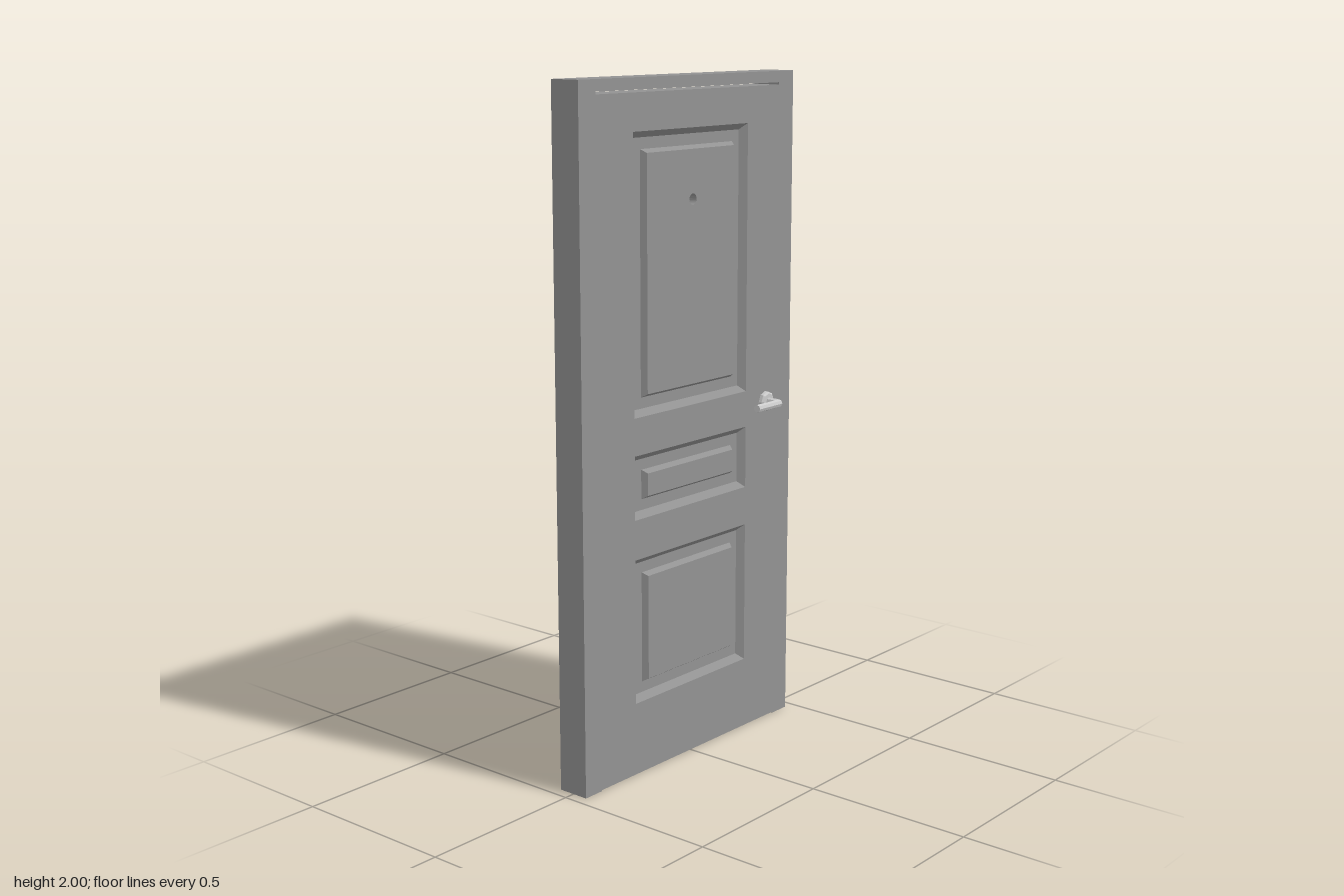
import * as THREE from 'three';

const HALF = 0.0485;     // half depth of the frame and of the flush leaf
const FIELD = 0.0455;    // height of the raised panel fields
const HOLE = { y: 1.654, z: -0.006, r: 0.016 };
const doorMat = new THREE.MeshStandardMaterial({ color: 0x929292, flatShading: true, side: THREE.DoubleSide });
const metalMat = new THREE.MeshStandardMaterial({ color: 0xcccccc, flatShading: true, side: THREE.DoubleSide });

function add(parent, name, geometry, material = doorMat) {
  const mesh = new THREE.Mesh(geometry, material);
  mesh.name = name;
  parent.add(mesh);
  return mesh;
}

// Corners of a rectangle, moved inwards by inset, counter-clockwise
function corners({ w, y0, y1 }, inset = 0) {
  const x = w - inset, a = y0 + inset, b = y1 - inset;
  return [[-x, a], [x, a], [x, b], [-x, b]];
}

function trace(path, points) {
  path.setFromPoints(points.map(p => new THREE.Vector2(...p)));
  path.closePath();
  return path;
}

// Mitred rectangular moulding through [inset, z] steps
function moulding(rect, steps) {
  const pos = [], index = [];
  for (const [inset, z] of steps)
    for (const [x, y] of corners(rect, inset)) pos.push(x, y, z);
  for (let s = 0; s < steps.length - 1; s++)
    for (let i = 0; i < 4; i++) {
      const a = s * 4 + i, b = s * 4 + (i + 1) % 4;
      index.push(a, b, b + 4, a, b + 4, a + 4);
    }
  const g = new THREE.BufferGeometry();
  g.setAttribute('position', new THREE.Float32BufferAttribute(pos, 3));
  g.setIndex(index);
  const flat = g.toNonIndexed();
  flat.computeVertexNormals();
  return flat;
}

// One side of the leaf, facing +z before it is turned
function leafSide(holeX) {
  const side = new THREE.Group();
  const leaf = { w: 0.4, y0: 0.003, y1: 1.96 };
  const panels = [
    { w: 0.252, y0: 1.062, y1: 1.855 },
    { w: 0.252, y0: 0.767, y1: 0.953 },
    { w: 0.252, y0: 0.22, y1: 0.65 },
  ];
  const face = trace(new THREE.Shape(), corners(leaf));
  for (const p of panels) face.holes.push(trace(new THREE.Path(), corners(p)));
  add(side, 'leafFace', new THREE.ShapeGeometry(face)).position.z = HALF;
  add(side, 'leafEdge', moulding(leaf, [[0, 0], [0, HALF]]));

  panels.forEach((p, i) => {
    add(side, 'panelMoulding', moulding(p, [
      [0, HALF], [0.018, HALF - 0.02], [0.05, HALF - 0.02], [0.06, FIELD],
    ]));
    const field = trace(new THREE.Shape(), corners(p, 0.06));
    if (i === 0) field.holes.push(new THREE.Path().absarc(holeX, HOLE.y, HOLE.r, 0, Math.PI * 2, true));
    add(side, 'panelField', new THREE.ShapeGeometry(field, 8)).position.z = FIELD;
  });
  return side;
}

// Lever handle on the +x side, its spindle at the group's origin
function leverHandle() {
  const handle = new THREE.Group();
  handle.name = 'leverHandle';
  const v = (x, z) => new THREE.Vector3(x, 0, z);

  // Bevelled octagonal rosette
  const profile = [[0.03, HALF], [0.03, 0.059], [0.025, 0.064], [0, 0.064]]
    .map(([r, h]) => new THREE.Vector2(r, h));
  add(handle, 'rosette', new THREE.LatheGeometry(profile, 8), metalMat).rotation.z = -Math.PI / 2;

  // Spindle turning sharply into the grip
  const path = new THREE.CurvePath();
  path.add(new THREE.LineCurve3(v(0.06, 0), v(0.097, 0)));
  path.add(new THREE.QuadraticBezierCurve3(v(0.097, 0), v(0.103, 0), v(0.103, 0.006)));
  path.add(new THREE.LineCurve3(v(0.103, 0.006), v(0.103, 0.109)));
  add(handle, 'lever', new THREE.TubeGeometry(path, 60, 0.012, 8, false), metalMat);
  add(handle, 'leverEnd', new THREE.CircleGeometry(0.012, 8), metalMat).position.set(0.103, 0, 0.109);
  return handle;
}

export function createModel() {
  const model = new THREE.Group();
  model.name = 'door';

  // Frame: two jambs joined by a thin head
  const outline = trace(new THREE.Shape(), [
    [-0.468, 0], [-0.4, 0], [-0.4, 1.967], [0.4, 1.967],
    [0.4, 0], [0.468, 0], [0.468, 2], [-0.468, 2],
  ]);
  const frame = new THREE.ExtrudeGeometry(outline, { depth: HALF * 2, bevelEnabled: false });
  frame.translate(0, 0, -HALF).rotateY(Math.PI / 2);
  add(model, 'frame', frame);

  // Both sides of the panelled leaf, and their handles
  for (const s of [1, -1]) {
    const side = leafSide(-s * HOLE.z);
    side.name = s > 0 ? 'leafLeftSide' : 'leafRightSide';
    side.rotation.y = s * Math.PI / 2;
    model.add(side);

    const handle = leverHandle();
    handle.position.set(0, 1.018, -0.345);
    if (s < 0) handle.rotation.z = Math.PI;
    model.add(handle);
  }

  // Peephole lining through the upper panel
  const lining = add(model, 'peephole',
    new THREE.CylinderGeometry(HOLE.r, HOLE.r, FIELD * 2, 16, 1, true));
  lining.rotation.z = Math.PI / 2;
  lining.position.set(0, HOLE.y, HOLE.z);

  return model;
}
